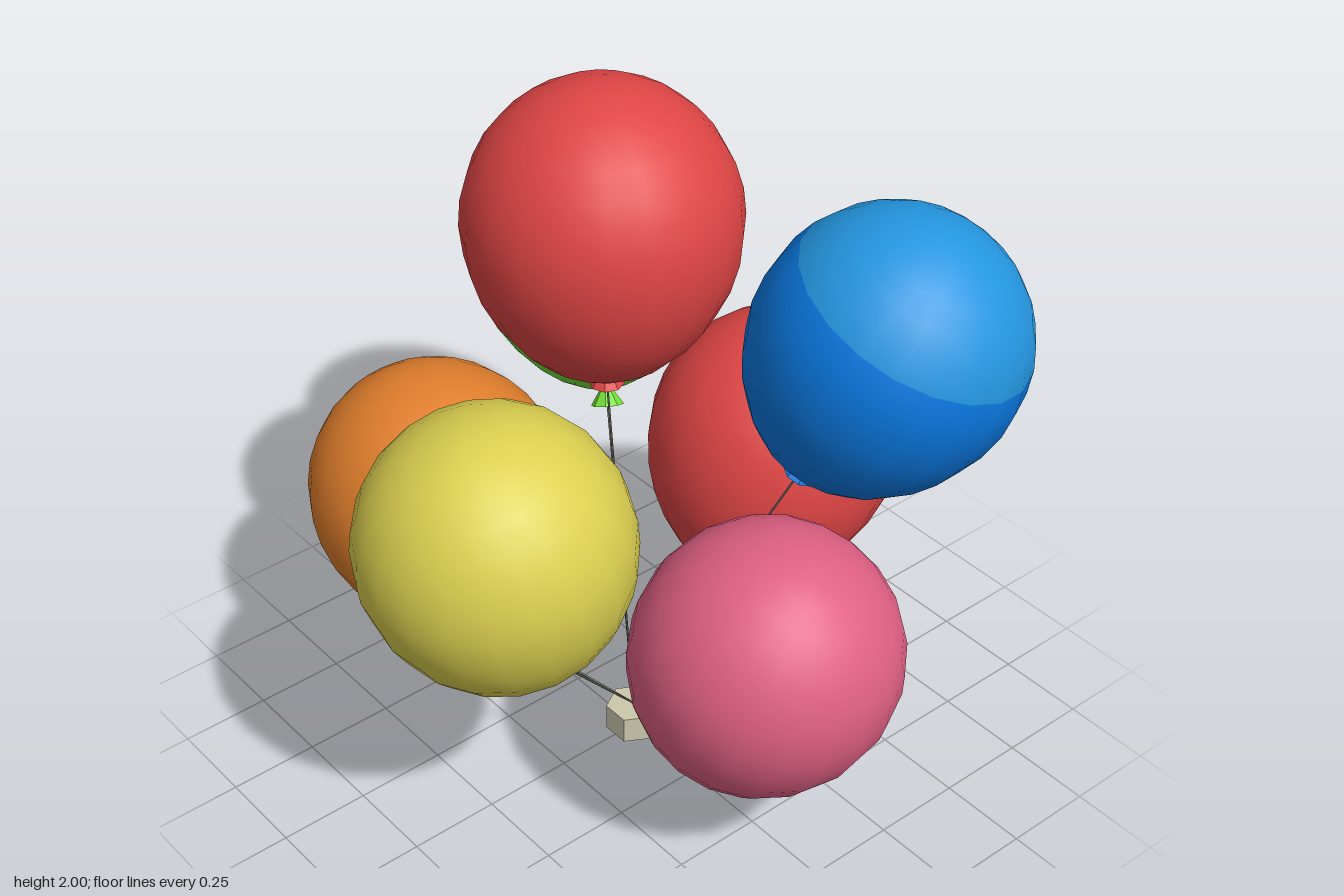
import * as THREE from 'three';
import { mergeVertices } from 'three/addons/utils/BufferGeometryUtils.js';

const UP = new THREE.Vector3(0, 1, 0);
const ANCHOR = new THREE.Vector3(0, 0.08, 0);

function mat(name, color, flatShading = false) {
  const m = new THREE.MeshStandardMaterial({ color });
  m.name = name;
  m.flatShading = flatShading;
  return m;
}

// Rounded crown, longer and slightly tapered lower half; group 0 is the cap
function balloonGeometry(segs = 20, rings = 16, capRings = 6) {
  let g = new THREE.SphereGeometry(1, segs, rings);
  g.deleteAttribute('uv');
  g.deleteAttribute('normal');
  const p = g.attributes.position;
  for (let i = 0; i < p.count; i++) {
    const y = p.getY(i);
    const low = Math.max(0, -y);
    const r = 0.352 * (1 - 0.1 * low * low);
    p.setXYZ(i, p.getX(i) * r, y * (y > 0 ? 0.365 : 0.432), p.getZ(i) * r);
  }
  g = mergeVertices(g, 1e-5);
  g.computeVertexNormals();
  const cap = segs * (1 + 2 * (capRings - 1)) * 3;
  g.clearGroups();
  g.addGroup(0, cap, 0);
  g.addGroup(cap, g.index.count - cap, 1);
  return g;
}

export function createModel() {
  const model = new THREE.Group();
  model.name = 'balloonBunch';

  const red = mat('red', 0xe04545);
  const blue = mat('blue', 0x0a78e0);
  const lightBlue = mat('lightBlue', 0x2496e0);
  const green = mat('green', 0x74e038);
  const orange = mat('orange', 0xe07e2c);
  const yellow = mat('yellow', 0xdcd050);
  const pink = mat('pink', 0xe06084);
  const beige = mat('beige', 0xccc8ac, true);
  const grey = mat('stringGrey', 0x66665c);

  // name, body colour, cap colour, centre, offset from centre to knot
  const balloons = [
    ['topRed', red, red, [-0.07, 1.635, 0.04], [0.01, -0.44, 0]],
    ['blue', blue, lightBlue, [0.51, 1.38, -0.39], [-0.17, -0.43, 0.12]],
    ['green', green, green, [-0.565, 1.225, -0.325], [0.18, -0.42, 0.1]],
    ['yellow', yellow, yellow, [0.15, 1.02, 0.56], [-0.045, -0.43, -0.13]],
    ['orange', orange, orange, [-0.495, 0.68, 0.28], [0.16, -0.43, -0.07]],
    ['pink', pink, pink, [0.56, 0.65, 0.03], [-0.19, -0.41, 0]],
    ['backRed', red, red, [-0.06, 0.72, -0.56], [0.04, -0.42, 0.19]],
  ];

  const body = balloonGeometry();
  const knotShape = new THREE.CylinderGeometry(0.012, 0.046, 0.052, 8).toNonIndexed();
  knotShape.computeVertexNormals();

  for (const [name, color, cap, centre, offset] of balloons) {
    const balloon = new THREE.Group();
    balloon.name = name + 'Balloon';
    balloon.position.set(...centre);
    const axis = new THREE.Vector3(...offset).negate().normalize();
    balloon.quaternion.setFromUnitVectors(UP, axis);

    const skin = new THREE.Mesh(body, [cap, color]);
    skin.name = name + 'Body';
    const knot = new THREE.Mesh(knotShape, color);
    knot.name = name + 'Knot';
    knot.position.y = -0.452;
    balloon.add(skin, knot);
    model.add(balloon);

    // String from the weight up to the knot
    const end = new THREE.Vector3(...centre).addScaledVector(axis, -0.46);
    const dir = end.clone().sub(ANCHOR);
    const string = new THREE.Mesh(new THREE.CylinderGeometry(0.003, 0.003, dir.length(), 5), grey);
    string.name = name + 'String';
    string.position.copy(ANCHOR).add(end).multiplyScalar(0.5);
    string.quaternion.setFromUnitVectors(UP, dir.normalize());
    model.add(string);
  }

  // Hexagonal weight on the ground
  const weight = new THREE.Mesh(new THREE.CylinderGeometry(0.077, 0.077, 0.08, 6), beige);
  weight.name = 'weight';
  weight.position.y = 0.04;
  weight.rotation.y = Math.PI / 6;
  model.add(weight);

  return model;
}
